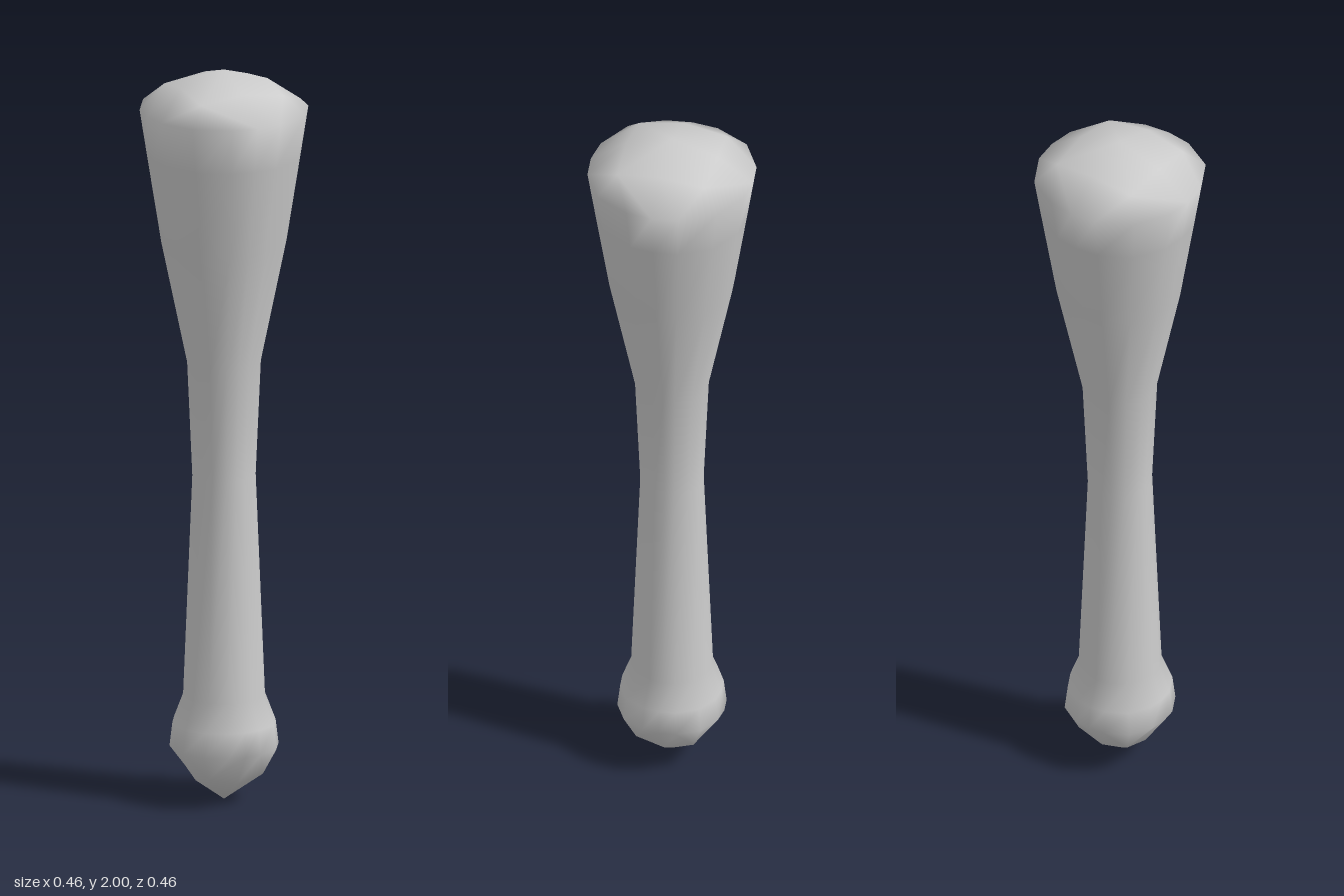
import * as THREE from 'three';

// Sixteen-sided, softly squared cross-section: [angle in degrees, radius factor] per quarter
const QUARTER = [[0, 1], [26.6, 0.976], [45, 0.964], [63.4, 0.976]];
const SIDES = 16;

// [radius, height] from the bulb end up to the broad head
const PROFILE = [
  [0.148, 0.15], [0.14, 0.215], [0.111, 0.29], [0.086, 0.89],
  [0.1, 1.2], [0.17, 1.53], [0.209, 1.77], [0.229, 1.895],
];

function createClubGeometry() {
  const positions = [];
  const index = [];
  const add = (radius, y, degrees) => {
    const a = THREE.MathUtils.degToRad(degrees);
    positions.push(radius * Math.cos(a), y, radius * Math.sin(a));
    return positions.length / 3 - 1;
  };

  // Side rings
  const rings = PROFILE.map(([radius, y]) =>
    Array.from({ length: SIDES }, (_, j) => {
      const [angle, factor] = QUARTER[j % 4];
      return add(radius * factor, y, angle + 90 * Math.floor(j / 4));
    }));
  for (let i = 0; i < rings.length - 1; i++) {
    for (let j = 0; j < SIDES; j++) {
      const k = (j + 1) % SIDES;
      const [a, b, c, d] = [rings[i][j], rings[i][k], rings[i + 1][j], rings[i + 1][k]];
      index.push(a, c, b, b, c, d);
    }
  }

  // End cap: a four by four patch with its corners on the axes
  const cap = (rim, corner, middle, tipY, up) => {
    const quad = (a, b, c, d) =>
      index.push(...(up ? [a, c, b, a, d, c] : [a, b, c, a, c, d]));
    const inner = Array.from({ length: 8 }, (_, j) =>
      add(...(j % 2 ? middle : corner), 45 * j));
    const tip = add(0, tipY, 0);
    const R = (j) => rim[(j + SIDES) % SIDES];
    const I = (j) => inner[(j + 8) % 8];
    for (let k = 0; k < 4; k++) {
      quad(R(4 * k), R(4 * k + 1), I(2 * k), R(4 * k - 1));
      quad(R(4 * k + 1), R(4 * k + 2), I(2 * k + 1), I(2 * k));
      quad(R(4 * k + 2), R(4 * k + 3), I(2 * k + 2), I(2 * k + 1));
      quad(I(2 * k), I(2 * k + 1), tip, I(2 * k - 1));
    }
  };
  cap(rings[0], [0.11, 0.08], [0.082, 0.06], 0, false);
  cap(rings[rings.length - 1], [0.168, 1.945], [0.125, 1.962], 2, true);

  const geometry = new THREE.BufferGeometry();
  geometry.setAttribute('position', new THREE.Float32BufferAttribute(positions, 3));
  geometry.setIndex(index);
  geometry.computeVertexNormals();
  return geometry;
}

export function createModel() {
  const group = new THREE.Group();
  group.name = 'club';
  const body = new THREE.Mesh(
    createClubGeometry(),
    new THREE.MeshStandardMaterial({ color: 0xcccccc }),
  );
  body.name = 'clubBody';
  group.add(body);
  return group;
}
